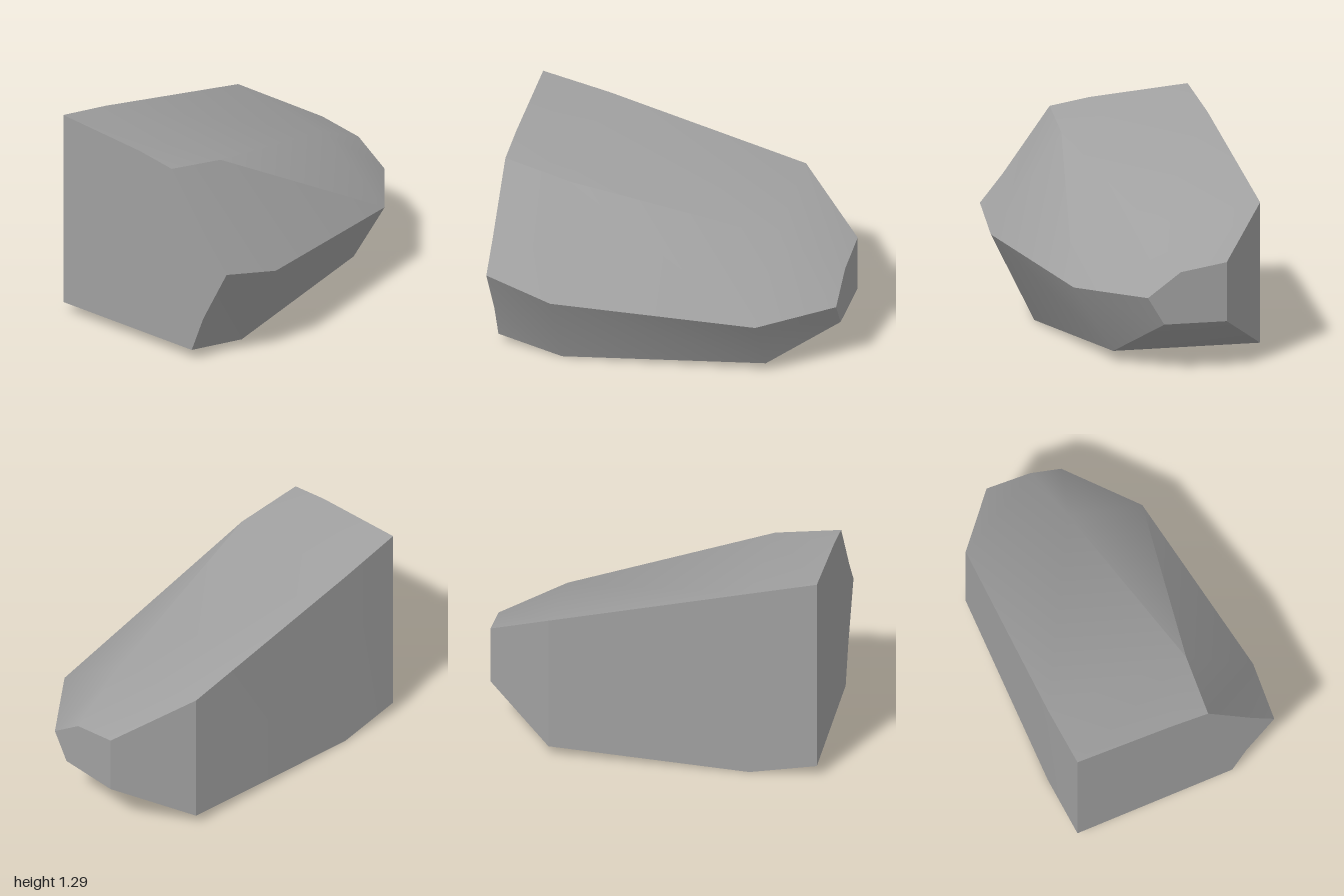
import * as THREE from 'three';
import { toCreasedNormals } from 'three/addons/utils/BufferGeometryUtils.js';

// Cross-sections along x; corners [z, y] run
// bottom back, bottom front, front ridge, top front, top back.
const sections = [
  { x: -1.0, ring: [[-0.645, 0.07], [0.35, 0.067], [0.62, 0.64], [0.195, 1.2], [-0.645, 1.29]] },
  { x: -0.6, ring: [[-0.66, 0], [0.395, 0.005], [0.66, 0.535], [0.23, 1.125], [-0.66, 1.2]] },
  { x: 0.6, ring: [[-0.66, 0.06], [0.235, 0.06], [0.475, 0.455], [0, 0.8], [-0.66, 0.905]] },
  { x: 1.0, ring: [[-0.35, 0.29], [0.03, 0.29], [0.13, 0.455], [-0.07, 0.6], [-0.35, 0.645]] },
];

// Extra chips along the edge of the large end, keyed by the side they break
const chips = { 1: [0.44, 0.3], 2: [0.48, 0.81], 3: [-0.05, 1.24] };

function rockGeometry() {
  const pos = [];
  const rings = sections.map(({ x, ring }) => ring.map(([z, y]) => [x, y, z]));
  const tri = (...corners) => corners.forEach((p) => pos.push(...p));
  const cap = (ring) => {
    for (let i = 1; i < ring.length - 1; i++) tri(ring[0], ring[i], ring[i + 1]);
  };

  // Sides between neighbouring sections
  const largeEnd = [];
  for (let s = 0; s < rings.length - 1; s++) {
    const a = rings[s], b = rings[s + 1];
    for (let i = 0; i < a.length; i++) {
      const j = (i + 1) % a.length;
      const edge = [a[i]];
      if (s === 0 && chips[i]) edge.push([sections[0].x, chips[i][1], chips[i][0]]);
      if (s === 0) largeEnd.push(...edge);
      edge.push(a[j]);
      for (let k = 0; k < edge.length - 1; k++) tri(edge[k], b[i], edge[k + 1]);
      tri(a[j], b[i], b[j]);
    }
  }

  // Flat ends
  cap(largeEnd);
  cap([...rings[rings.length - 1]].reverse());

  const geometry = new THREE.BufferGeometry();
  geometry.setAttribute('position', new THREE.Float32BufferAttribute(pos, 3));
  return toCreasedNormals(geometry, THREE.MathUtils.degToRad(36));
}

export function createModel() {
  const group = new THREE.Group();
  group.name = 'rock';
  const stone = new THREE.MeshStandardMaterial({ color: 0xa0a0a0 });
  stone.name = 'grey stone';
  const boulder = new THREE.Mesh(rockGeometry(), stone);
  boulder.name = 'boulder';
  group.add(boulder);
  return group;
}
